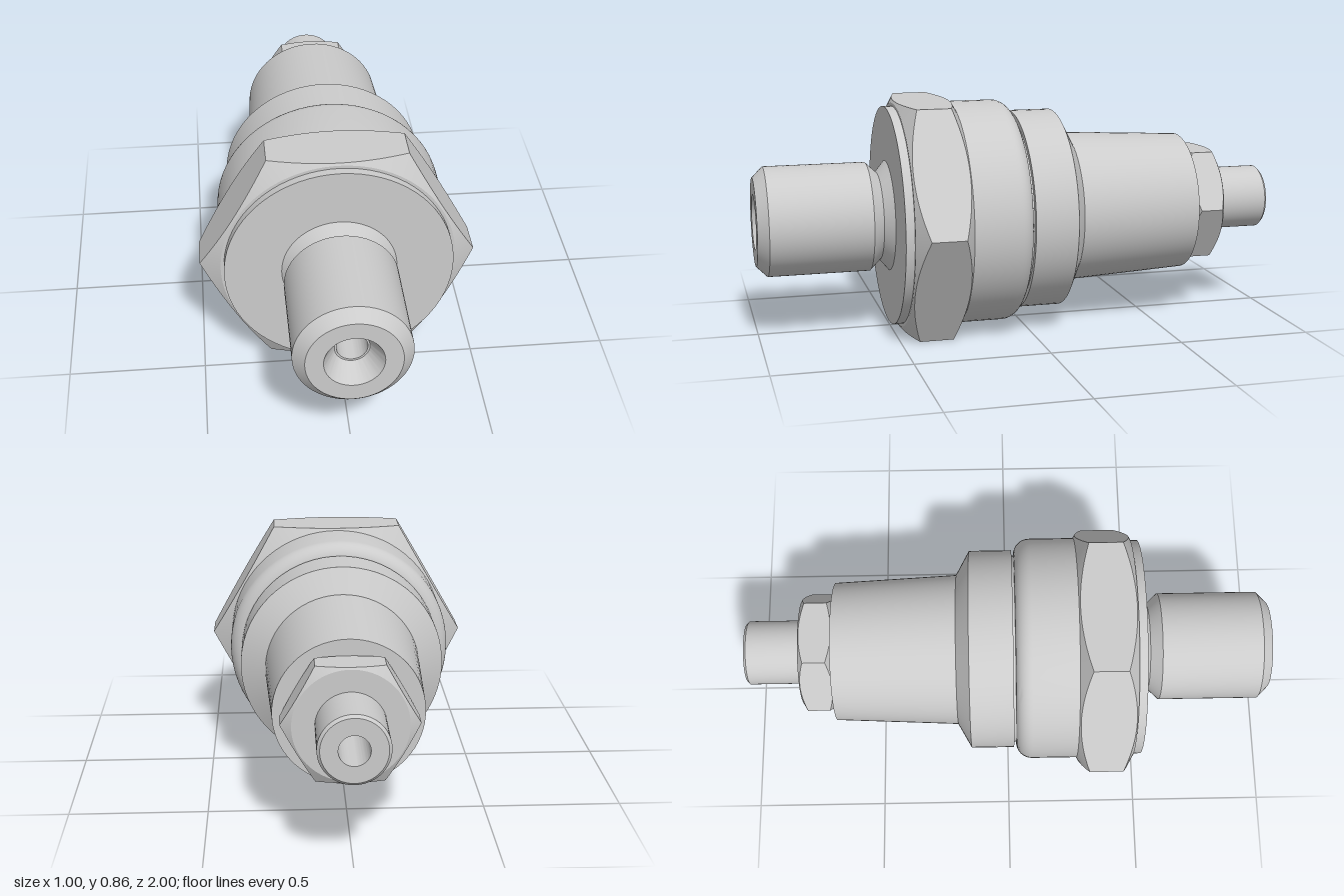
import * as THREE from 'three';
import { toCreasedNormals } from 'three/addons/utils/BufferGeometryUtils.js';

const AXIS_Y = 0.431;
const BORE = 0.053;
const material = new THREE.MeshStandardMaterial({ color: 0xcccccc });

// Turned part: [radius, z] points listed from back to front (bores front to back)
function turned(name, profile) {
  const points = profile.map(([r, z]) => new THREE.Vector2(r, z));
  const geometry = new THREE.LatheGeometry(points, 72).rotateX(Math.PI / 2);
  return finish(name, geometry);
}

// Hexagonal part with conical chamfers on both ends, corners on +-x
function hexagon(name, apothem, capRadius, inner, zBack, zFront, slope) {
  const points = [inner, capRadius, apothem, apothem, capRadius, inner]
    .map((r, i) => new THREE.Vector2(r, i < 3 ? zBack : zFront));
  const segments = 96;
  const geometry = new THREE.LatheGeometry(points, segments);
  const position = geometry.attributes.position;
  for (let i = 0; i < position.count; i++) {
    const ring = i % 6;
    if (ring !== 2 && ring !== 3) continue;
    const phi = Math.floor(i / 6) / segments * Math.PI * 2;
    const offset = (phi + Math.PI / 6) % (Math.PI / 3) - Math.PI / 6;
    const r = apothem / Math.cos(offset);
    const drop = (r - capRadius) * slope;
    const z = ring === 2 ? zBack + drop : zFront - drop;
    position.setXYZ(i, r * Math.sin(phi), z, r * Math.cos(phi));
  }
  return finish(name, geometry.rotateX(Math.PI / 2));
}

function finish(name, geometry) {
  const mesh = new THREE.Mesh(toCreasedNormals(geometry, 0.45), material);
  mesh.name = name;
  mesh.position.y = AXIS_Y;
  return mesh;
}

export function createModel() {
  const group = new THREE.Group();
  group.name = 'fitting';

  // Rounded rear shoulder of the collar
  const shoulder = [];
  for (let i = 0; i <= 8; i++) {
    const a = i / 8 * Math.PI / 2;
    shoulder.push([0.363 + 0.06 * Math.sin(a), 0.09 - 0.06 * Math.cos(a)]);
  }

  group.add(
    // Front stud with V-shaped relief groove and chamfered tip
    turned('stud', [
      [0.207, 0.505], [0.165, 0.54], [0.205, 0.582],
      [0.205, 0.96], [0.165, 1], [0.103, 1],
    ]),
    turned('frontFlange', [[0.412, 0.47], [0.412, 0.505], [0.15, 0.505]]),
    hexagon('mainHex', 0.431, 0.423, 0.3, 0.26, 0.473, 0.58),
    turned('collar', [[0.3, 0.03], ...shoulder, [0.423, 0.262]]),
    turned('collarGroove', [[0.36, 0.015], [0.36, 0.04]]),
    // Ring stepping down to the sleeve
    turned('ring', [
      [0.28, -0.19], [0.29, -0.19], [0.38, -0.14], [0.38, 0.022], [0.3, 0.022],
    ]),
    turned('taperedSleeve', [[0.1, -0.655], [0.265, -0.655], [0.288, -0.188]]),
    hexagon('rearNut', 0.207, 0.2, 0.1, -0.783, -0.654, 0.58),
    turned('rearPin', [
      [BORE, -1], [0.112, -1], [0.122, -0.99], [0.122, -0.78],
    ]),
    // Through bore with a countersunk front mouth
    turned('bore', [
      [0.103, 1], [0.06, 0.925], [BORE, 0.925], [BORE, -1],
    ]),
  );
  return group;
}
